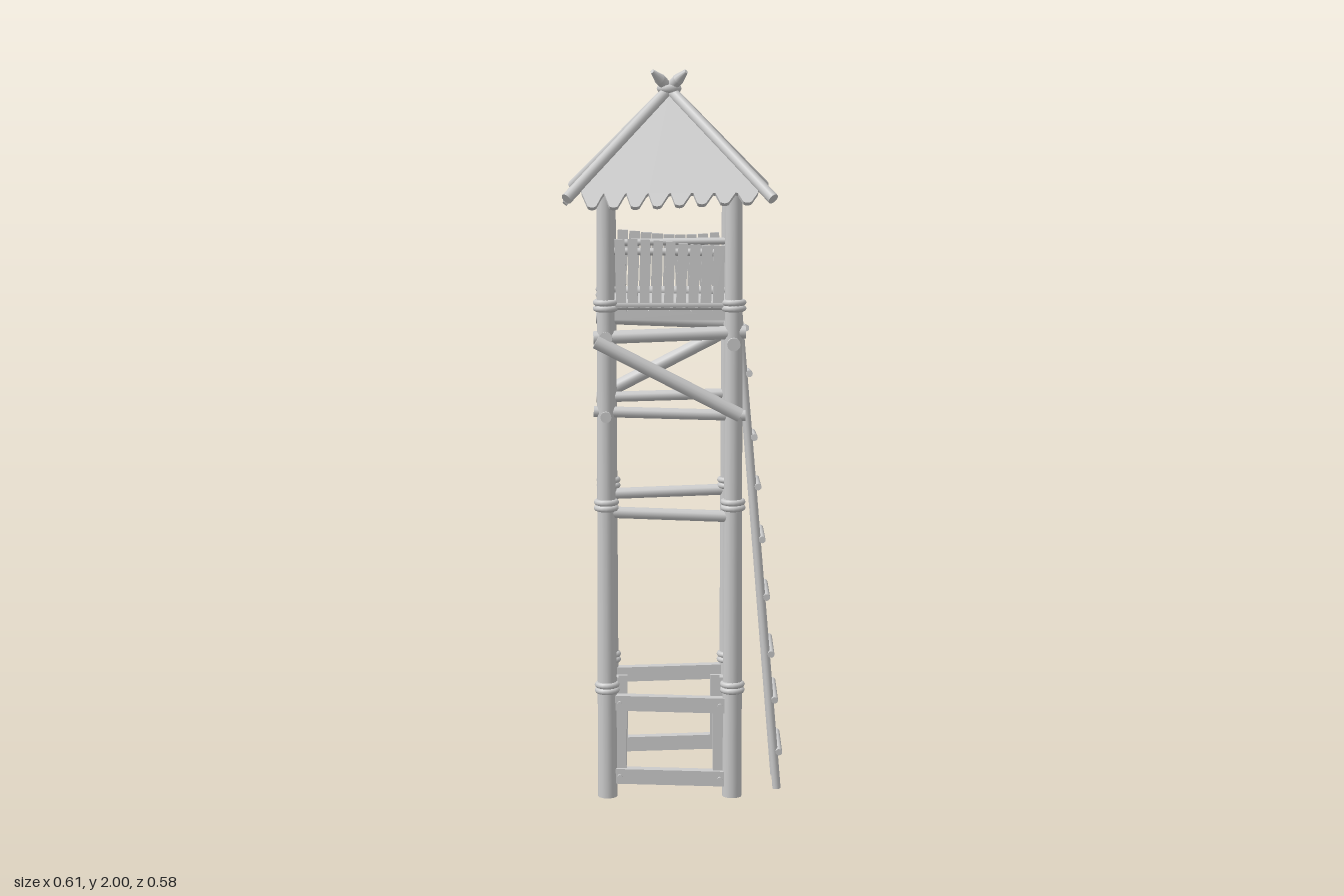
import * as THREE from 'three';

const mat = new THREE.MeshStandardMaterial({ color: 0xcccccc, side: THREE.DoubleSide });
const UP = new THREE.Vector3(0, 1, 0);
const HALF = 0.172; // half spacing of the posts

// repeatable wobble in -1..1 for the hand-built look
const wobble = (n) => Math.sin(n * 12.9898 + 1.3);

function add(parent, name, geometry, x = 0, y = 0, z = 0) {
  const m = new THREE.Mesh(geometry, mat);
  m.name = name;
  m.position.set(x, y, z);
  parent.add(m);
  return m;
}

// round pole between two points
function pole(parent, name, a, b, r, r2 = r) {
  const p = new THREE.Vector3(...a), q = new THREE.Vector3(...b);
  const d = q.clone().sub(p);
  const m = add(parent, name, new THREE.CylinderGeometry(r2, r, d.length(), 12));
  m.position.copy(p).lerp(q, 0.5);
  m.quaternion.setFromUnitVectors(UP, d.normalize());
  return m;
}

function box(parent, name, w, h, d, x, y, z, tilt = 0) {
  const m = add(parent, name, new THREE.BoxGeometry(w, h, d), x, y, z);
  m.rotation.z = tilt;
  return m;
}

// corner post with rope lashings
function post(parent, x, z) {
  pole(parent, 'post', [x, 0.015, z], [x, 1.72, z], 0.027, 0.023);
  for (const y of [0.325, 0.835, 1.38])
    for (const dy of [-0.008, 0.008]) {
      const ring = add(parent, 'lashing', new THREE.TorusGeometry(0.026, 0.0085, 8, 16), x, y + dy, z);
      ring.rotation.x = Math.PI / 2;
    }
}

// one side of the frame, facing local +z
function frameSide(k) {
  const g = new THREE.Group();
  g.name = 'frameSide';
  g.rotation.y = k * Math.PI / 2;
  const frontOrBack = k % 2 === 0;

  // squared base frame with cleats and bolts
  box(g, 'baseBeam', 0.34, 0.042, 0.028, 0, 0.278, HALF, -0.03);
  box(g, 'baseBeam', 0.34, 0.042, 0.028, 0, 0.07, HALF, -0.03);
  for (const s of [-1, 1]) {
    box(g, 'cleat', 0.04, 0.22, 0.03, s * 0.139, 0.165, HALF - 0.012);
    for (const y of [0.07, 0.278]) {
      const bolt = add(g, 'bolt', new THREE.CylinderGeometry(0.007, 0.007, 0.012, 8), s * 0.138, y - s * 0.004, HALF + 0.017);
      bolt.rotation.x = Math.PI / 2;
    }
  }

  // middle rail
  if (frontOrBack) pole(g, 'middleRail', [-HALF, 0.815, HALF], [HALF, 0.802, HALF], 0.016);
  if (k === 3) pole(g, 'middleRail', [-HALF, 0.545, HALF], [HALF, 0.56, HALF], 0.014);

  // upper rails and the diagonal brace
  const top = frontOrBack ? 1.3 : 1.285;
  pole(g, 'upperRail', [-0.205, top - 0.008, HALF], [0.205, top + 0.008, HALF], 0.018);
  pole(g, 'lowerRail', [-0.205, 1.092, HALF], [0.205, 1.08, HALF], 0.015);
  if (frontOrBack) pole(g, 'diagonalBrace', [-0.198, 1.285, 0.2], [0.19, 1.085, 0.2], 0.019);

  // platform edge, top plate under the roof
  pole(g, 'platformEdge', [-0.2, 1.382, HALF], [0.2, 1.382, HALF], 0.015);
  pole(g, 'topPlate', [-0.19, 1.695, HALF], [0.19, 1.695, HALF], 0.015);

  // picket railing, left open at the ladder side
  if (k !== 1) {
    pole(g, 'handRail', [-HALF, 1.525, HALF - 0.012], [HALF, 1.52, HALF - 0.012], 0.01);
    for (let i = 0; i < 9; i++) {
      const n = i + k * 10, h = 0.175 + 0.009 * wobble(n);
      box(g, 'picket', 0.028 + 0.003 * wobble(n + 5), h, 0.011,
        -0.132 + i * 0.033, 1.375 + h / 2, HALF + 0.008, 0.04 * wobble(n + 3));
    }
  }
  return g;
}

// plank floor on joists
function platform() {
  const g = new THREE.Group();
  g.name = 'platform';
  for (let i = 0; i < 6; i++)
    box(g, 'floorPlank', 0.055, 0.016, 0.35, -0.143 + i * 0.0572, 1.368 + 0.002 * wobble(i), 0);
  for (const z of [-0.1, 0.1]) box(g, 'joist', 0.34, 0.026, 0.03, 0, 1.345, z);
  return g;
}

// sloping thatch panel with a ragged eave
function thatch(k) {
  const g = new THREE.Group();
  g.name = 'thatchSide';
  g.rotation.y = k * Math.PI / 2;
  const tilt = Math.atan2(1, 1.04), slope = 1 / Math.sin(tilt);
  const s = new THREE.Shape();
  const teeth = 8, start = -0.235, w = 0.47 / teeth;
  s.moveTo(0, 0);
  s.lineTo(start, -0.236 * slope);
  for (let i = 0; i < teeth; i++) {
    const n = i + k * 9, x = start + i * w;
    const tip = -(0.276 + 0.006 * wobble(n)) * slope, c = x + w * (0.5 + 0.08 * wobble(n + 4));
    s.lineTo(x + 0.003, -0.247 * slope);
    s.lineTo(c - 0.011, tip + 0.005);
    s.quadraticCurveTo(c, tip - 0.003, c + 0.011, tip + 0.005);
    s.lineTo(x + w - 0.003, -(0.25 + 0.004 * wobble(n + 2)) * slope);
  }
  s.lineTo(-start, -0.236 * slope);
  s.closePath();
  const geo = new THREE.ExtrudeGeometry(s, { depth: 0.012, bevelEnabled: false, curveSegments: 4 });
  const m = add(g, 'thatch', geo, 0, 1.935, 0);
  m.rotation.x = -tilt;
  return g;
}

function roof() {
  const g = new THREE.Group();
  g.name = 'roof';
  for (let k = 0; k < 4; k++) g.add(thatch(k));
  // hip poles crossing at the peak with sharpened ends
  for (const x of [-1, 1]) for (const z of [-1, 1]) {
    const at = (d) => [x * d, 1.952 - 1.03 * d, z * d];
    pole(g, 'hipPole', at(0.272), at(-0.025), 0.0155);
    pole(g, 'hipPoleTip', at(-0.025), at(-0.046), 0.0155, 0.005);
  }
  const knot = add(g, 'peakLashing', new THREE.TorusGeometry(0.022, 0.012, 8, 20), 0, 1.953, 0);
  knot.rotation.x = Math.PI / 2;
  return g;
}

// leaning ladder on the open side
function ladder() {
  const g = new THREE.Group();
  g.name = 'ladder';
  const xAt = (y) => 0.287 - 0.083 * y;
  for (const z of [0.068, -0.06])
    pole(g, 'ladderRail', [xAt(0), 0.004, z], [xAt(1.385), 1.385, z], 0.0115, 0.0105);
  [0.12, 0.27, 0.4, 0.56, 0.72, 0.865, 1.0, 1.175, 1.3].forEach((y, i) => {
    const t = 0.008 * wobble(i), x = xAt(y) + 0.015;
    pole(g, 'rung', [x, y - t, 0.084], [x, y + t, -0.076], 0.0095);
  });
  return g;
}

export function createModel() {
  const model = new THREE.Group();
  model.name = 'watchtower';
  const tower = new THREE.Group();
  tower.name = 'tower';
  tower.position.x = -0.014;
  for (const x of [-HALF, HALF]) for (const z of [-HALF, HALF]) post(tower, x, z);
  for (let k = 0; k < 4; k++) tower.add(frameSide(k));
  tower.add(platform(), roof());
  model.add(tower, ladder());
  return model;
}
